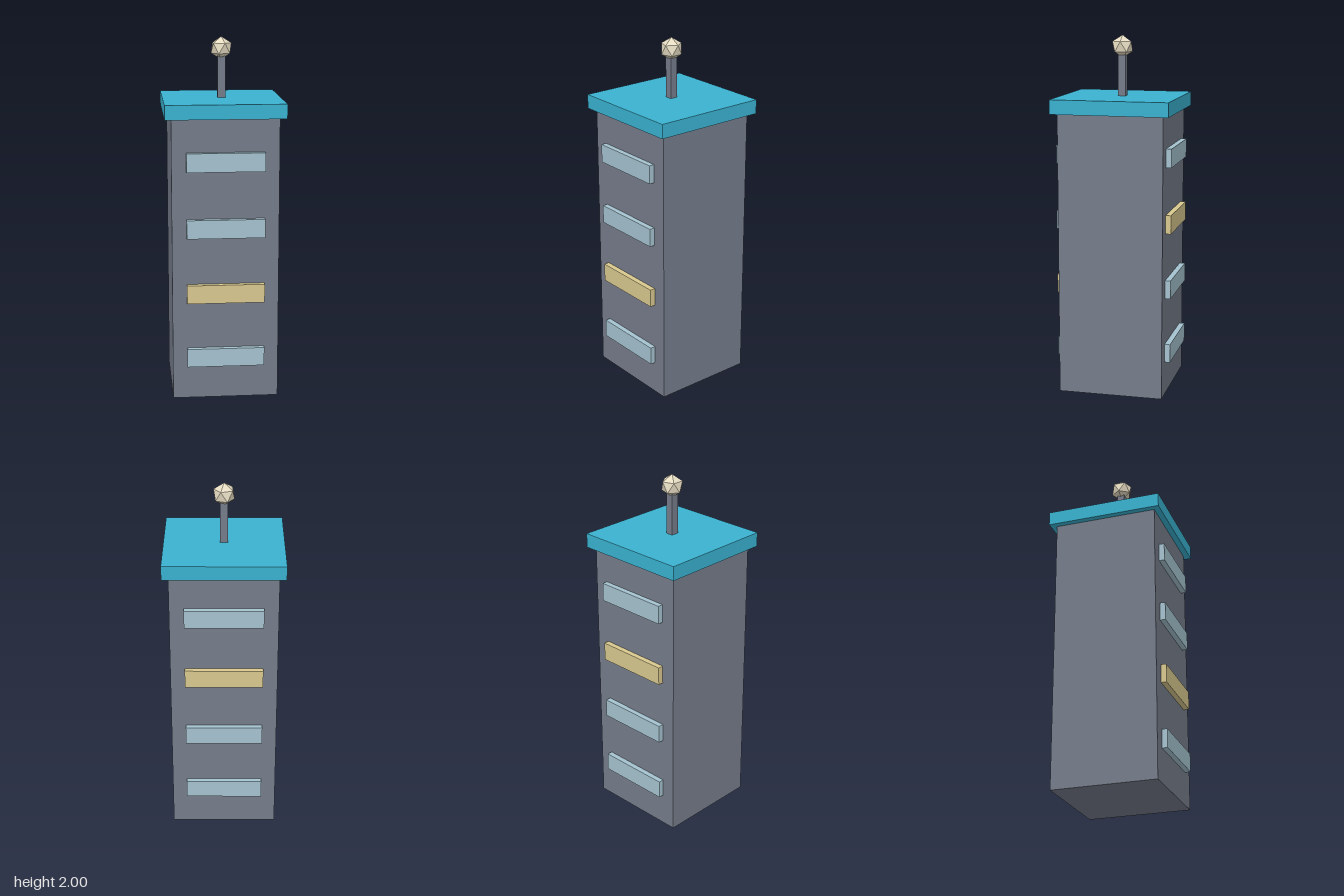
import * as THREE from 'three';

const paint = (color) => new THREE.MeshStandardMaterial({ color, flatShading: true });

export function createModel() {
  const model = new THREE.Group();
  model.name = 'towerBlock';

  const wall = paint(0x757c8a);
  const roofBlue = paint(0x3ab2d1);
  const glass = paint(0xa5c3d0);
  const litGlass = paint(0xd9c98f);
  const cream = paint(0xe6dcc2);

  const add = (name, geometry, material, x, y, z) => {
    const mesh = new THREE.Mesh(geometry, material);
    mesh.name = name;
    mesh.position.set(x, y, z);
    model.add(mesh);
    return mesh;
  };

  // Tower and overhanging roof slab
  add('tower', new THREE.BoxGeometry(0.59, 1.585, 0.59), wall, 0, 0.7925, 0);
  add('roof', new THREE.BoxGeometry(0.66, 0.08, 0.66), roofBlue, 0, 1.623, 0);

  // Four window bands on the front and back, one lit on each side
  const band = new THREE.BoxGeometry(0.43, 0.104, 0.06);
  for (const [side, z, litFloor] of [['front', 0.296, 1], ['back', -0.296, 2]]) {
    for (let floor = 0; floor < 4; floor++) {
      const material = floor === litFloor ? litGlass : glass;
      add(`${side}Window${floor + 1}`, band, material, 0, 0.243 + floor * 0.3685, z);
    }
  }

  // Roof mast
  add('mast', new THREE.BoxGeometry(0.044, 0.28, 0.044), wall, 0, 1.79, 0);

  // Faceted beacon: an icosahedron turned so one corner points straight up
  const beacon = new THREE.IcosahedronGeometry(0.0637, 0);
  const golden = (1 + Math.sqrt(5)) / 2;
  beacon.rotateZ(-Math.atan(1 / golden));
  beacon.rotateX(0);
  const top = new THREE.Vector3(0, 1, 0);
  const points = beacon.attributes.position;
  const corner = new THREE.Vector3();
  let best = new THREE.Vector3(0, -1, 0);
  for (let i = 0; i < points.count; i++) {
    corner.fromBufferAttribute(points, i);
    if (corner.y > best.y) best = corner.clone();
  }
  beacon.applyQuaternion(new THREE.Quaternion().setFromUnitVectors(best.normalize(), top));
  // Spin it so a corner of the upper ring points to +x
  for (let i = 0; i < points.count; i++) {
    corner.fromBufferAttribute(points, i);
    if (corner.y > 0.01 && corner.y < 0.05) {
      beacon.rotateY(Math.atan2(corner.z, corner.x));
      break;
    }
  }
  add('beacon', beacon, cream, 0, 1.9363, 0);

  return model;
}
